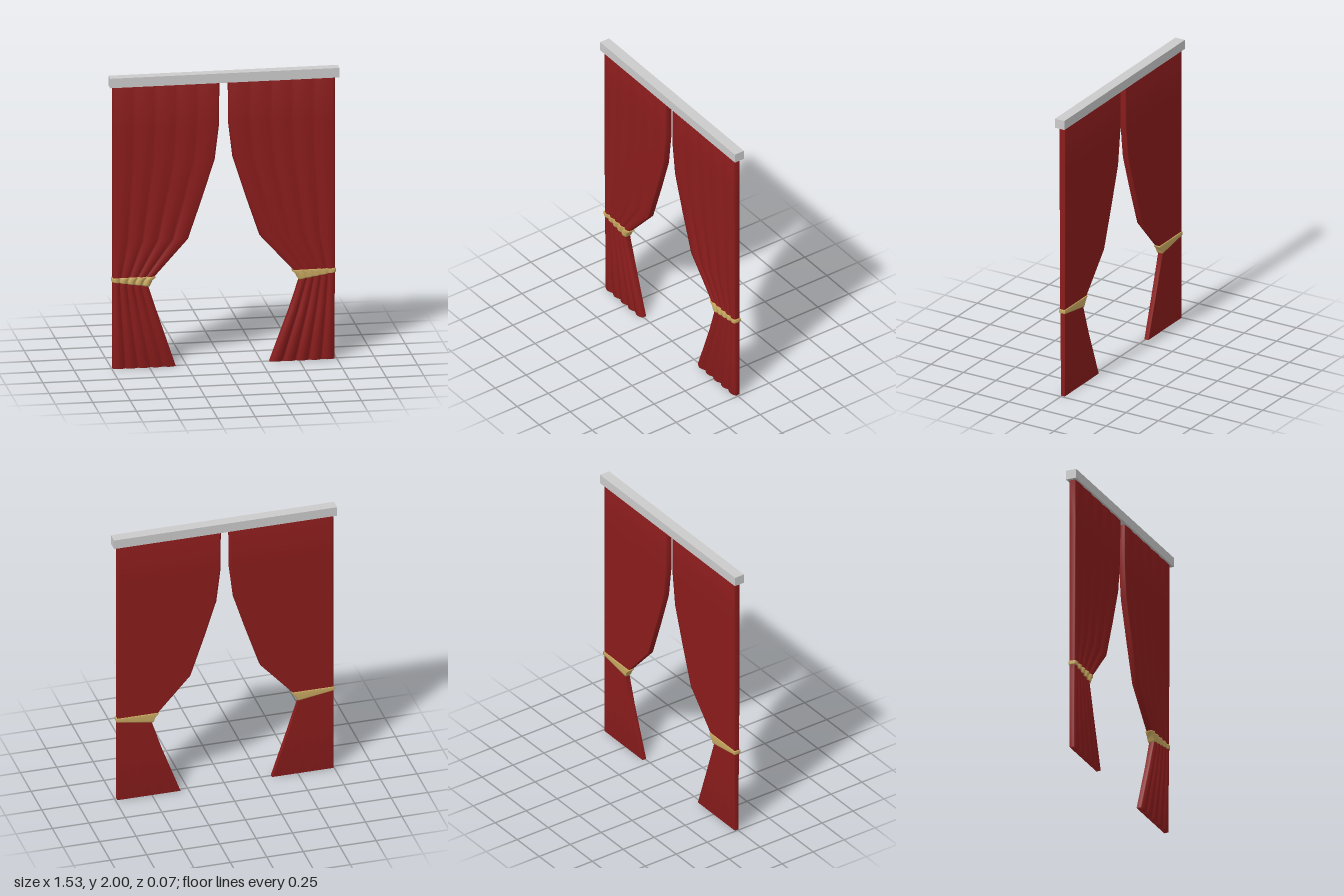
import * as THREE from 'three';

const N = 60;       // columns across the cloth
const FOLDS = 5;    // rounded pleats per curtain
const BACK = -0.021;
const OUTER = 0.74;

const red = new THREE.MeshStandardMaterial({ color: 0x8b1c1c });
const gold = new THREE.MeshStandardMaterial({ color: 0xc9a961 });
const grey = new THREE.MeshStandardMaterial({ color: 0xcccccc });

// Closed solid lofted through rows: pleated front, flat back, shared smooth normals.
// A row is { inner, outer, y(u), depth, pad }, with u running from inner to outer edge.
function loft(rows, side) {
  const pos = [], idx = [], ring = 2 * (N + 1);
  const tri = (a, b, c) => (side > 0 ? idx.push(a, b, c) : idx.push(a, c, b));
  const quad = (a, b, c, d) => { tri(a, b, c); tri(a, c, d); };

  for (const { inner, outer, y, depth, pad } of rows) {
    for (let k = 0; k < ring; k++) {
      const front = k <= N;
      const u = (front ? k : ring - 1 - k) / N;
      const pleat = Math.abs(Math.sin(Math.PI * FOLDS * u));
      const z = front ? 0.023 + pad - depth * (1 - pleat) : BACK - pad;
      pos.push(side * THREE.MathUtils.lerp(inner, outer, u), y(u), z);
    }
  }
  // side walls
  for (let r = 0; r < rows.length - 1; r++) {
    for (let k = 0; k < ring; k++) {
      const a = r * ring + k, b = r * ring + (k + 1) % ring;
      quad(a, b, b + ring, a + ring);
    }
  }
  // hem and top caps
  const top = (rows.length - 1) * ring;
  for (let k = 0; k < N; k++) {
    const m = ring - 1 - k;
    quad(top + k, top + k + 1, top + m - 1, top + m);
    quad(k + 1, k, m, m - 1);
  }
  const geo = new THREE.BufferGeometry();
  geo.setAttribute('position', new THREE.Float32BufferAttribute(pos, 3));
  geo.setIndex(idx);
  geo.computeVertexNormals();
  return geo;
}

function curtainSide(side) {
  const group = new THREE.Group();
  group.name = side > 0 ? 'leftCurtain' : 'rightCurtain';
  group.position.x = -0.003;

  // inner edge of the cloth from hem to rail: [y, x, pleat depth]
  const edge = [
    [0, side > 0 ? 0.307 : 0.32, 0.015], [0.35, 0.437, 0.014], [0.56, 0.505, 0.011],
    [0.62, 0.465, 0.01], [0.87, 0.24, 0.009], [1.15, 0.145, 0.007],
    [1.41, 0.062, 0.006], [1.65, 0.033, 0.005], [1.94, 0.031, 0.005],
  ];
  const cloth = new THREE.Mesh(loft(edge.map(([y, inner, depth]) => (
    { inner, outer: OUTER, y: () => y, depth, pad: 0 })), side), red);
  cloth.name = 'cloth';
  group.add(cloth);

  // tieback: tall at the gathered inner edge, narrow at the outer one
  const low = u => THREE.MathUtils.lerp(0.556, 0.596, u);
  const band = [[0, 0.497, 0.003], [0.15, 0.492, 0.005], [0.6, 0.478, 0.005],
    [0.9, 0.456, 0.005], [1, 0.459, 0.003]];
  const tie = new THREE.Mesh(loft(band.map(([t, inner, pad]) => ({
    inner, outer: OUTER + pad + 0.002, depth: 0.01, pad,
    y: u => THREE.MathUtils.lerp(low(u), 0.623, t),
  })), side), gold);
  tie.name = 'tieback';
  group.add(tie);
  return group;
}

export function createModel() {
  const model = new THREE.Group();
  model.name = 'curtains';

  const rail = new THREE.Mesh(new THREE.BoxGeometry(1.53, 0.065, 0.073), grey);
  rail.name = 'rail';
  rail.position.y = 1.9675;
  model.add(rail);

  for (const side of [-1, 1]) model.add(curtainSide(side));
  return model;
}
